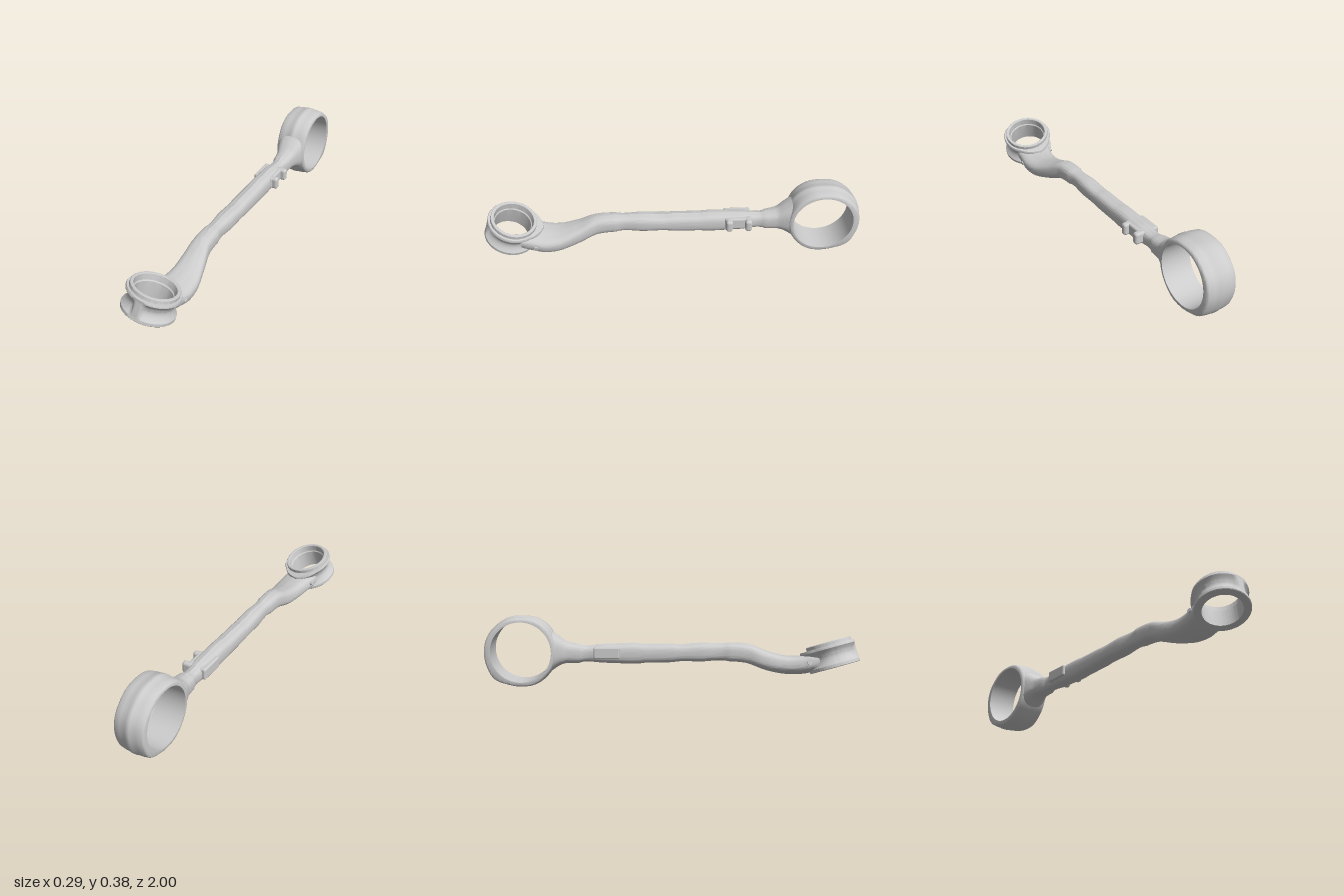
import * as THREE from 'three';
import { toCreasedNormals } from 'three/addons/utils/BufferGeometryUtils.js';
import { ParametricGeometry } from 'three/addons/geometries/ParametricGeometry.js';
import { RoundedBoxGeometry } from 'three/addons/geometries/RoundedBoxGeometry.js';

const V = (x, y, z) => new THREE.Vector3(x, y, z);
const BIG = { y: 0.195, z: -0.8 };                       // centre of the big eye
const SMALL = V(-0.014, 0.105, 0.868);                   // bottom centre of the small eye
const SMALL_AXIS = V(0.21, 1, -0.28).normalize();

// Ring around the x axis: profile points [axial, radius, tag], radius adjusted by angle
function ringGeometry(profile, adjust) {
  const n = profile.length - 1;
  const geo = new ParametricGeometry((u, v, target) => {
    const [x, r, tag] = profile[Math.round(v * n)];
    const a = u * Math.PI * 2;
    const radius = adjust(r, tag, a);
    target.set(x, radius * Math.sin(a), radius * Math.cos(a));
  }, 96, n);
  return toCreasedNormals(geo, 0.6);
}

// Big eye: outer outline follows a gently lumpy closed curve
function bigEyeGeometry() {
  const outline = [0.19, 0.19, 0.193, 0.191, 0.186, 0.191, 0.193, 0.2, 0.201,
    0.203, 0.208, 0.193, 0.19, 0.192, 0.188, 0.188];     // radius every 22.5 degrees
  const curve = new THREE.CatmullRomCurve3(outline.map((r, i) => V(i, r, 0)));
  const radiusAt = (a) => {
    const t = (a / (Math.PI * 2)) * 16;
    if (t > 15) return THREE.MathUtils.lerp(0.188, 0.19, t - 15);
    return curve.getPoint(t / 15).y;
  };
  const half = [[0.084, 0.16, 0], [0.084, -0.018, 1], [0.081, -0.012, 1], [0.074, -0.008, 1],
    [0.045, -0.003, 1], [0.014, -0.001, 1], [0.011, 0.001, 1]];
  const mirrored = half.map(([x, r, t]) => [-x, r, t]).reverse();
  const profile = [...half, ...mirrored, half[0]];
  return ringGeometry(profile, (r, tag, a) => (tag ? radiusAt(a) + r : r));
}

// Small eye: waisted outside with a front rib, raised lip, flange drawn out toward the arm
function smallEyeGeometry() {
  const profile = [[0.137, 0.105, 0], [0.14, 0.108, 0], [0.14, 0.119, 0], [0.137, 0.122, 0],
    [0.12, 0.123, 0], [0.12, 0.133, 2], [0.115, 0.136, 2]];
  for (let i = 0; i <= 10; i++) {
    const t = i / 10;
    profile.push([0.105 - 0.087 * t, 0.136 - 0.022 * Math.sin(Math.PI * t) ** 0.9, i < 4 ? 3 : 1]);
  }
  profile.push([0.003, 0.136, 0], [0, 0.133, 0], [0, 0.098, 0], [0.04, 0.096, 0],
    [0.1, 0.096, 0], [0.105, 0.101, 0], [0.137, 0.105, 0]);
  return ringGeometry(profile, (r, tag, a) => {
    const fromFront = Math.min(a, Math.PI * 2 - a);
    if (tag === 1 || tag === 3) {
      r = THREE.MathUtils.lerp(0.134, r, THREE.MathUtils.smoothstep(fromFront, 0.1, 0.32));
    }
    if (tag >= 2) r += 0.028 * Math.max(0, 1 - (Math.PI - fromFront) / 0.8);
    return r;
  }).rotateZ(Math.PI / 2);
}

// Arm: rounded section lofted along z; both ends stop inside the ring walls
function armGeometry() {
  // z, centre x, centre y, half width, half height, roll
  const stations = [
    [-0.68, 0, 0.195, 0.083, 0.125, 0], [-0.64, 0, 0.195, 0.082, 0.1, 0],
    [-0.6, 0, 0.194, 0.069, 0.073, 0], [-0.56, 0.001, 0.186, 0.054, 0.054, 0],
    [-0.5, 0.002, 0.18, 0.047, 0.048, 0], [-0.35, 0.002, 0.18, 0.047, 0.048, 0],
    [-0.15, 0.002, 0.18, 0.047, 0.048, 0], [0, 0.002, 0.182, 0.047, 0.047, 0],
    [0.15, 0.002, 0.186, 0.047, 0.047, 0], [0.3, 0.002, 0.187, 0.047, 0.047, 0],
    [0.4, 0.003, 0.178, 0.05, 0.049, 0], [0.5, 0.012, 0.14, 0.066, 0.049, -0.1],
    [0.6, 0.022, 0.115, 0.081, 0.046, -0.18], [0.68, 0.02, 0.114, 0.09, 0.046, -0.2],
    [0.74, 0.01, 0.125, 0.094, 0.046, -0.2], [0.8, 0.004, 0.14, 0.094, 0.044, -0.2]];
  const centre = new THREE.CatmullRomCurve3(stations.map((s) => V(s[1], s[2], s[0])));
  const size = new THREE.CatmullRomCurve3(stations.map((s) => V(s[3], s[4], s[5])));
  const power = (c) => Math.sign(c) * Math.abs(c) ** (2 / 2.9);
  const geo = new ParametricGeometry((u, v, target) => {
    const c = centre.getPoint(v), s = size.getPoint(v);
    const a = u * Math.PI * 2;
    const sx = s.x * power(Math.cos(a));
    let sy = s.y * power(Math.sin(a));
    // parting ridge along top and bottom
    if (Math.abs(Math.cos(a)) < 0.01) sy += 0.004 * Math.sign(sy);
    const x = c.x + sx * Math.cos(s.z) - sy * Math.sin(s.z);
    const y = c.y + sx * Math.sin(s.z) + sy * Math.cos(s.z);
    let z = c.z;
    // keep both bores clear
    const dy = y - BIG.y;
    if (Math.abs(dy) < 0.172) z = Math.max(z, BIG.z + Math.sqrt(0.172 ** 2 - dy * dy));
    const rise = y - SMALL.y;
    const dx = x - (SMALL.x + 0.21 * rise);
    if (Math.abs(dx) < 0.108) {
      z = Math.min(z, SMALL.z - 0.28 * rise - Math.sqrt(0.108 ** 2 - dx * dx));
    }
    target.set(x, y, z);
  }, 48, 120);
  return toCreasedNormals(geo, 0.7);
}

export function createModel() {
  const group = new THREE.Group();
  const material = new THREE.MeshStandardMaterial({ color: 0xcccccc });
  const add = (name, geometry, x = 0, y = 0, z = 0) => {
    const mesh = new THREE.Mesh(geometry, material);
    mesh.name = name;
    mesh.position.set(x, y, z);
    group.add(mesh);
    return mesh;
  };

  add('arm', armGeometry());
  add('bigEye', bigEyeGeometry(), 0, BIG.y, BIG.z);
  add('smallEye', smallEyeGeometry(), SMALL.x, SMALL.y, SMALL.z)
    .quaternion.setFromUnitVectors(V(0, 1, 0), SMALL_AXIS);

  // Side pad with two lugs on the left
  add('sidePad', new RoundedBoxGeometry(0.112, 0.064, 0.14, 3, 0.01), 0, 0.187, -0.35);
  for (const z of [-0.405, -0.303]) {
    add('lug', new RoundedBoxGeometry(0.06, 0.066, 0.036, 4, 0.014), 0.053, 0.187, z);
  }

  // Cross pin beside the small eye
  const pin = add('crossPin', new THREE.CylinderGeometry(0.012, 0.012, 0.2, 20), 0.012, 0.122, 0.722);
  pin.rotation.z = Math.PI / 2 - 0.2;
  return group;
}
